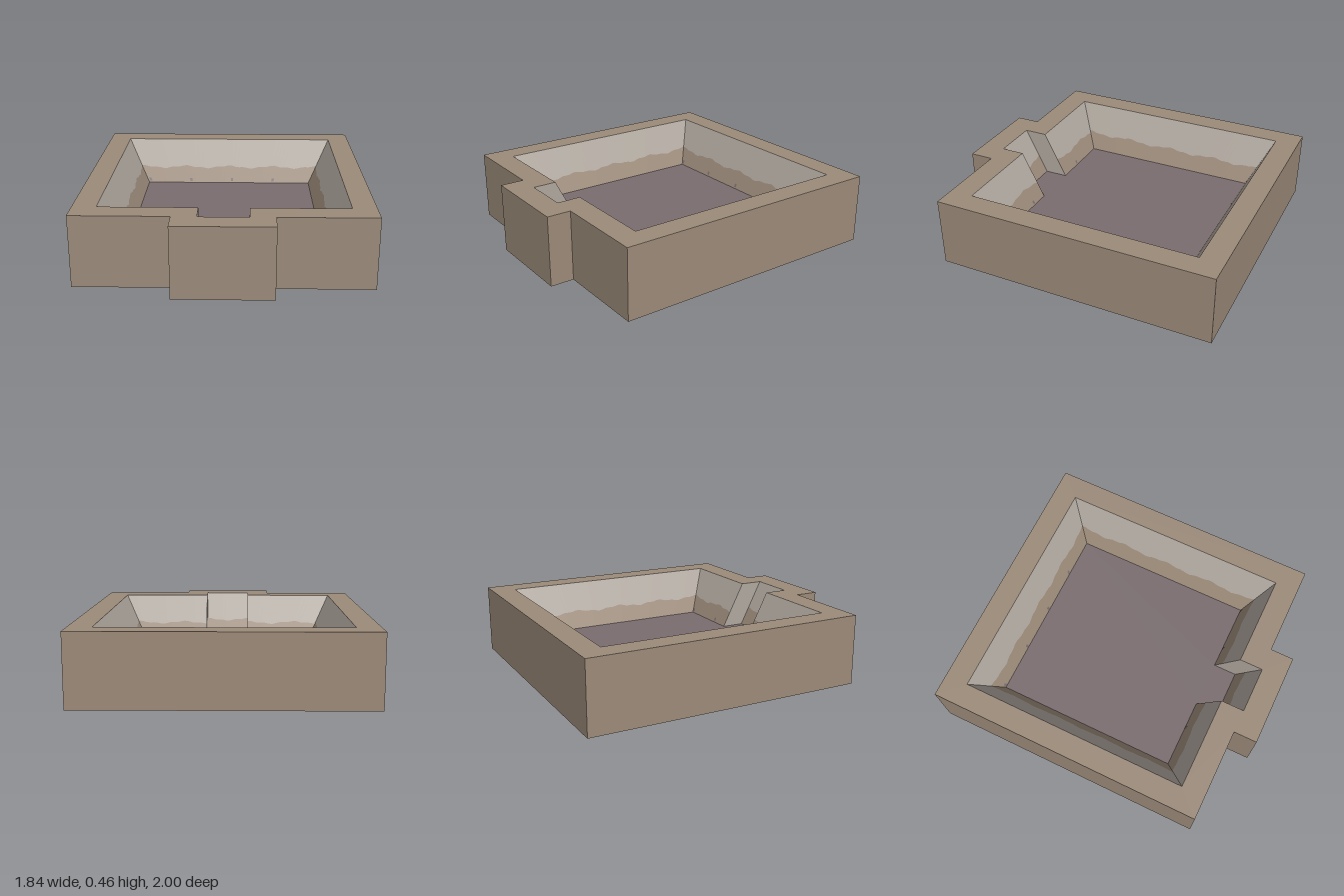
import * as THREE from 'three';

const H = 0.46;       // rim height
const F = 0.154;      // pit floor height

const mat = (name, color) => {
  const m = new THREE.MeshStandardMaterial({ color });
  m.name = name;
  return m;
};

// Horizontal face from [x, z] points, facing up or down
function flat(points, y, up, hole) {
  const s = up ? -1 : 1;
  const v = (list) => list.map(([x, z]) => new THREE.Vector2(x, s * z));
  const shape = new THREE.Shape(v(points));
  if (hole) shape.holes.push(new THREE.Path(v(hole)));
  return new THREE.ShapeGeometry(shape).rotateX(s * Math.PI / 2).translate(0, y, 0);
}

// Strip between two curves, lower(t) and upper(t), t running from left to right as seen
function strip(lower, upper, n = 1) {
  const pos = [], idx = [];
  for (let i = 0; i <= n; i++) {
    pos.push(...lower(i / n).toArray(), ...upper(i / n).toArray());
    const k = 2 * i;
    if (i < n) idx.push(k, k + 2, k + 3, k, k + 3, k + 1);
  }
  const g = new THREE.BufferGeometry();
  g.setAttribute('position', new THREE.Float32BufferAttribute(pos, 3));
  g.setIndex(idx);
  g.computeVertexNormals();
  return g;
}

export function createModel() {
  const model = new THREE.Group();
  model.name = 'sunkenPit';
  const earth = mat('brown earth', 0x9c8b7a);
  const stone = mat('pale stone', 0xb0a89f);
  const floorMat = mat('purple grey floor', 0x7a6d70);
  const add = (name, geometry, material, parent = model) => {
    const m = new THREE.Mesh(geometry, material);
    m.name = name;
    parent.add(m);
  };
  const V = (x, y, z) => new THREE.Vector3(x, y, z);
  const line = (a, b) => (t) => a.clone().lerp(b, t);

  // Outer block: rim, base and sides
  const outline = [[-0.31, 1], [0.31, 1], [0.31, 0.845], [0.92, 0.845],
    [0.92, -1], [-0.92, -1], [-0.92, 0.845], [-0.31, 0.845]];
  const opening = [[-0.77, -0.845], [0.77, -0.845], [0.77, 0.69], [0.155, 0.69],
    [0.155, 0.845], [-0.155, 0.845], [-0.155, 0.69], [-0.77, 0.69]];
  add('rim', flat(outline, H, true, opening), earth);
  add('base', flat(outline, 0, false), earth);
  outline.forEach(([x, z], i) => {
    const [x2, z2] = outline[(i + 1) % outline.length];
    add('outerSide', strip(line(V(x, 0, z), V(x2, 0, z2)), line(V(x, H, z), V(x2, H, z2))), earth);
  });

  // Pit floor, running into the front recess
  add('pitFloor', flat([[-0.615, -0.695], [0.615, -0.695], [0.615, 0.535], [0.155, 0.535],
    [0.155, 0.69], [-0.155, 0.69], [-0.155, 0.535], [-0.615, 0.535]], F, true), floorMat);

  // Sloping wall: earth below a wavy line, stone above it
  function wall(name, [ax, az], [bx, bz], [cx, cz], [dx, dz], spots = []) {
    const g = new THREE.Group();
    g.name = name;
    model.add(g);
    const low = line(V(ax, F, az), V(bx, F, bz));
    const high = line(V(cx, H, cz), V(dx, H, dz));
    const length = Math.hypot(bx - ax, bz - az);
    const at = (t, k) => low(t).lerp(high(t), k);
    const wave = (t) => {
      const p = t * length / 0.307 * Math.PI * 2;
      return at(t, 0.36 + 0.025 * Math.cos(p) + 0.012 * Math.sin(3 * p + 1));
    };
    const n = Math.ceil(length / 0.025);
    add('earthBand', strip(low, wave, n), earth, g);
    add('stoneBand', strip(wave, high, n), stone, g);
    // Small floor-coloured flecks near the foot of the wall
    for (const s of spots) {
      const t = s / length, w = 0.009 / length;
      const off = V(0, 0.002, -Math.sign(az) * 0.004);
      const edge = (k) => (u) => at(t + (2 * u - 1) * w, k).add(off);
      add('fleck', strip(edge(0.03), edge(0.1)), floorMat, g);
    }
  }
  wall('backWall', [-0.615, -0.695], [0.615, -0.695], [-0.77, -0.845], [0.77, -0.845], [0.02, 0.33, 0.64, 0.95]);
  wall('leftWall', [0.615, -0.695], [0.615, 0.535], [0.77, -0.845], [0.77, 0.69]);
  wall('rightWall', [-0.615, 0.535], [-0.615, -0.695], [-0.77, 0.69], [-0.77, -0.845]);
  wall('frontWallLeft', [0.615, 0.535], [0.155, 0.535], [0.77, 0.69], [0.155, 0.69], [0.02, 0.33]);
  wall('frontWallRight', [-0.155, 0.535], [-0.615, 0.535], [-0.155, 0.69], [-0.77, 0.69], [0.18]);
  wall('recessWall', [0.155, 0.69], [-0.155, 0.69], [0.155, 0.845], [-0.155, 0.845]);

  // Upright cheeks of the front recess
  for (const s of [1, -1]) {
    const x = 0.155 * s;
    const [n, f] = s > 0 ? [0.535, 0.69] : [0.69, 0.535];
    add('recessCheek', strip(line(V(x, F, n), V(x, F, f)),
      line(V(x, H, n + 0.155), V(x, H, f + 0.155))), stone);
  }
  return model;
}
